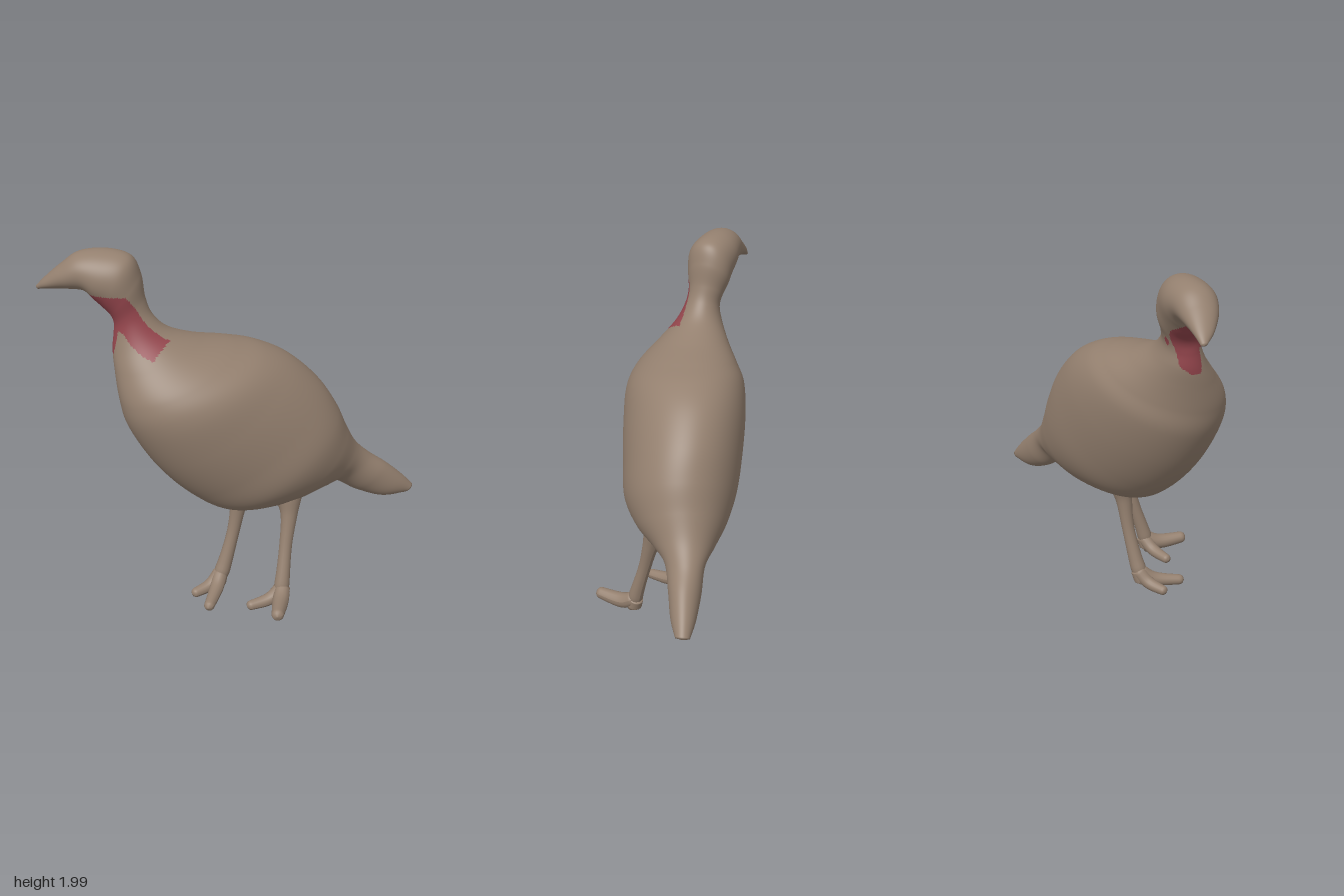
import * as THREE from 'three';

const skin = new THREE.MeshStandardMaterial({ name: 'brown plumage', color: 0x94806f });
const red = new THREE.MeshStandardMaterial({ name: 'red throat', color: 0x93454c });

// Body stations from beak tip to tail tip: ridge of the back, line of the belly,
// then [half width, yaw in degrees].
const dorsal = [
  [-0.71, 1.78, -0.735], [-0.695, 1.84, -0.68], [-0.665, 1.92, -0.595], [-0.62, 1.985, -0.515],
  [-0.545, 2.0, -0.4], [-0.485, 1.97, -0.29], [-0.45, 1.87, -0.255], [-0.445, 1.75, -0.235],
  [-0.43, 1.66, -0.2], [-0.37, 1.58, -0.14], [-0.25, 1.52, -0.04], [-0.1, 1.48, 0.07],
  [0.02, 1.44, 0.16], [0.14, 1.36, 0.25], [0.25, 1.22, 0.35], [0.32, 1.07, 0.42],
  [0.37, 0.93, 0.46], [0.43, 0.8, 0.5], [0.5, 0.71, 0.55], [0.58, 0.63, 0.62],
  [0.66, 0.54, 0.68], [0.72, 0.46, 0.725],
];
const ventral = [
  [-0.7, 1.765, -0.725], [-0.685, 1.785, -0.65], [-0.645, 1.795, -0.555], [-0.605, 1.79, -0.48],
  [-0.59, 1.75, -0.44], [-0.57, 1.71, -0.41], [-0.555, 1.67, -0.375], [-0.555, 1.63, -0.355],
  [-0.57, 1.58, -0.345], [-0.595, 1.5, -0.335], [-0.625, 1.4, -0.3], [-0.66, 1.25, -0.24],
  [-0.64, 1.1, -0.2], [-0.54, 0.88, -0.12], [-0.4, 0.69, -0.02], [-0.25, 0.57, 0.09],
  [-0.03, 0.54, 0.22], [0.17, 0.565, 0.33], [0.31, 0.59, 0.42], [0.44, 0.495, 0.5],
  [0.56, 0.43, 0.6], [0.68, 0.425, 0.69],
];
const girth = [
  [0.012, 63], [0.05, 63], [0.088, 63], [0.112, 63], [0.13, 62], [0.13, 60], [0.118, 57], [0.098, 54],
  [0.098, 50], [0.13, 45], [0.19, 42], [0.27, 37], [0.32, 33], [0.33, 32], [0.32, 32], [0.3, 32],
  [0.24, 33], [0.16, 36], [0.105, 42], [0.085, 43], [0.065, 44], [0.035, 45],
];

// Red patches: [height, from angle, to angle] around the neck, 180 = throat
const patches = [
  [[1.48, 75, 90], [1.5, 50, 98], [1.54, 40, 105], [1.6, 45, 118], [1.65, 50, 180], [1.72, 58, 180], [1.8, 78, 180]], // side
  [[1.48, 170, 190], [1.53, 155, 215], [1.6, 140, 222], [1.66, 110, 228], [1.73, 110, 218], [1.8, 110, 180]], // throat
  [[1.63, 246, 250], [1.645, 239, 257], [1.66, 239, 257], [1.675, 246, 250]], // spot
];
function inPatch(p, deg) {
  if (p.z < -0.47 || p.z > -0.08 || p.x > -0.44 && deg < 180) return false;
  return patches.some((rows) => {
    const k = rows.findIndex((q, i) => i > 0 && p.y >= rows[i - 1][0] && p.y < q[0]);
    if (k < 0) return false;
    const a = rows[k - 1], b = rows[k], f = (p.y - a[0]) / (b[0] - a[0]);
    return deg > a[1] + (b[1] - a[1]) * f && deg < a[2] + (b[2] - a[2]) * f;
  });
}

const curve = (pts) => new THREE.CatmullRomCurve3(pts.map((p) => new THREE.Vector3(p[0], p[1], p[2] ?? 0)), false, 'catmullrom', 0.5);

// Head, neck, body and tail as one smooth loft of ellipses
function bodyGeometry(N = 300, M = 120) {
  const D = curve(dorsal), V = curve(ventral), G = curve(girth);
  const pts = [];
  for (let i = 0; i <= N; i++) {
    const d = D.getPoint(i / N), v = V.getPoint(i / N), g = G.getPoint(i / N);
    const c = d.clone().add(v).multiplyScalar(0.5);
    const h = d.sub(v).multiplyScalar(0.5);
    const yaw = THREE.MathUtils.degToRad(g.y);
    const lat = new THREE.Vector3(-Math.sin(yaw), 0, Math.cos(yaw)).multiplyScalar(g.x);
    const k = i === 0 || i === N ? 0 : 1; // close both tips
    for (let j = 0; j < M; j++) {
      const t = (j / M) * Math.PI * 2;
      pts.push(c.clone().addScaledVector(h, k * Math.cos(t)).addScaledVector(lat, k * Math.sin(t)));
    }
  }
  const plain = [], painted = [];
  for (let i = 0; i < N; i++) {
    for (let j = 0; j < M; j++) {
      const n = (j + 1) % M;
      const a = i * M + j, b = i * M + n, c = a + M, d = b + M;
      const list = inPatch(pts[a], (j / M) * 360) ? painted : plain;
      list.push(a, b, c, b, d, c);
    }
  }
  const geo = new THREE.BufferGeometry().setFromPoints(pts);
  geo.setIndex([...plain, ...painted]);
  geo.addGroup(0, plain.length, 0);
  geo.addGroup(plain.length, painted.length, 1);
  geo.computeVertexNormals();
  return geo;
}

// Tapered limb: points are [x, y, z, radius], with rounded ends
function limb(name, points) {
  const path = curve(points), N = 40, M = 16;
  const geo = new THREE.TubeGeometry(path, N, 1, M);
  const pos = geo.attributes.position, p = new THREE.Vector3();
  const radii = curve(points.map((q) => [q[3], 0, 0]));
  for (let i = 0; i <= N; i++) {
    const c = path.getPointAt(i / N);
    const end = Math.min(1, Math.min(i, N - i) / 4);
    const r = radii.getPoint(path.getUtoTmapping(i / N)).x * Math.sqrt(1 - (1 - end) ** 2);
    for (let j = 0; j <= M; j++) {
      const n = i * (M + 1) + j;
      p.fromBufferAttribute(pos, n).sub(c).multiplyScalar(r).add(c);
      pos.setXYZ(n, p.x, p.y, p.z);
    }
  }
  geo.computeVertexNormals();
  const mesh = new THREE.Mesh(geo, skin);
  mesh.name = name;
  return mesh;
}

// Shank plus toes spreading from the ankle
function leg(name, shank, toes) {
  const g = new THREE.Group();
  g.name = name;
  g.add(limb('shank', shank));
  const [x, y, z] = shank[shank.length - 1];
  toes.forEach(([tx, ty, tz, r]) => g.add(limb('toe', [
    [x + 0.025, y + 0.05, z, 0.04],
    [x + (tx - x) * 0.3, y + (ty - y) * 0.4, z + (tz - z) * 0.35, r * 1.4],
    [tx, ty, tz, r],
  ])));
  return g;
}

export function createModel() {
  const model = new THREE.Group();
  model.name = 'bird';

  const body = new THREE.Mesh(bodyGeometry(), [skin, red]);
  body.name = 'body';
  model.add(body);

  model.add(leg('leftLeg',
    [[0.03, 0.8, 0.3, 0.1], [-0.02, 0.63, 0.365, 0.08], [-0.05, 0.52, 0.395, 0.047], [-0.1, 0.35, 0.41, 0.035], [-0.155, 0.17, 0.43, 0.04], [-0.18, 0.08, 0.435, 0.05]],
    [[-0.385, 0.1, 0.555, 0.031], [-0.34, 0.05, 0.325, 0.025], [-0.17, 0.06, 0.44, 0.03]]));
  model.add(leg('rightLeg',
    [[-0.06, 0.8, 0.18, 0.1], [-0.1, 0.63, 0.125, 0.08], [-0.12, 0.52, 0.11, 0.047], [-0.15, 0.35, 0.095, 0.035], [-0.2, 0.17, 0.075, 0.04], [-0.24, 0.065, 0.06, 0.05]],
    [[-0.465, 0.035, 0.155, 0.027], [-0.4, 0.03, -0.003, 0.025], [-0.24, 0.035, 0.06, 0.03]]));

  return model;
}
